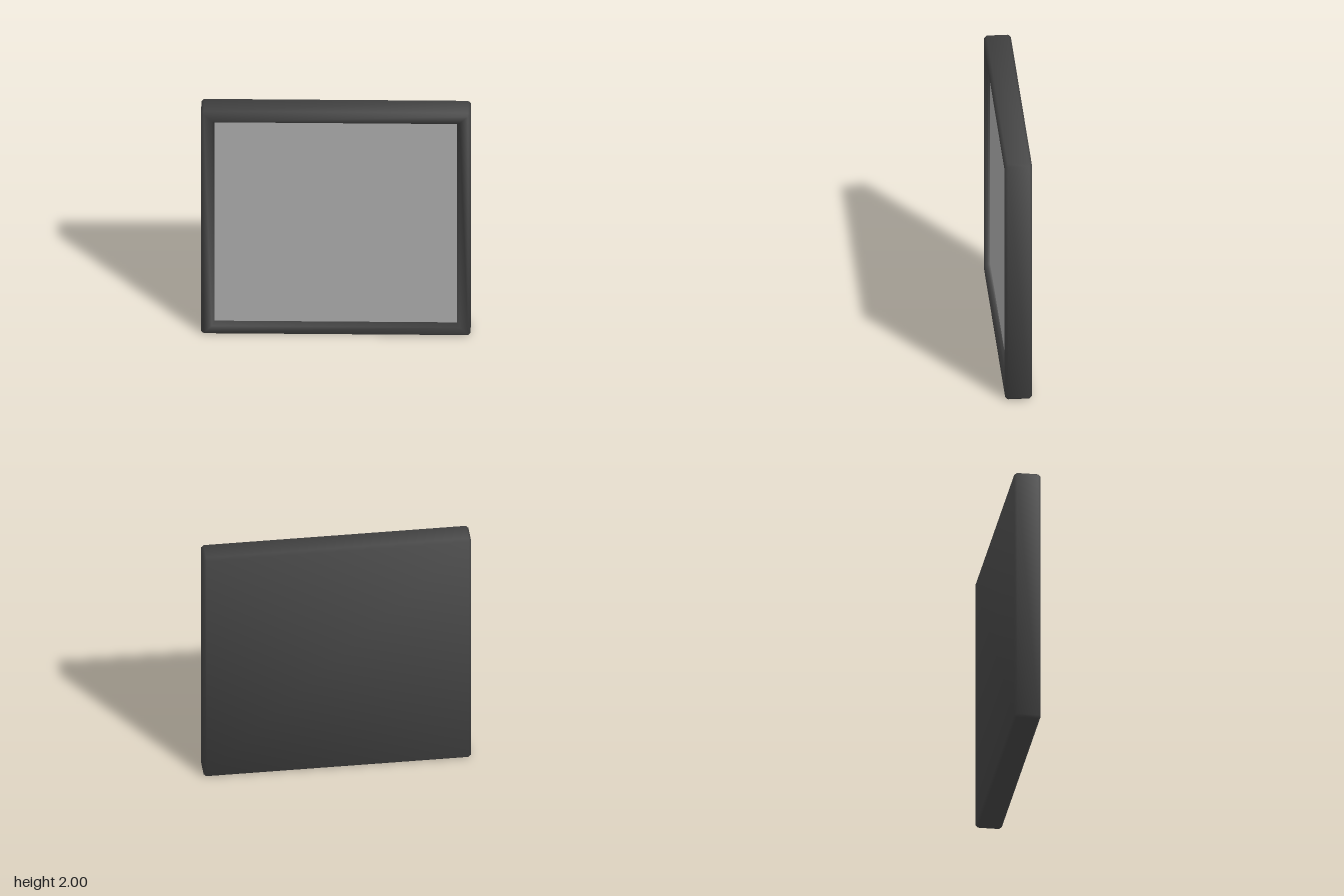
import * as THREE from 'three';

// Skins a stack of square rings. Each ring: half size, z, corner cut,
// and its soft normal as [along the main side, along the other side, z].
function skinSquareRings(rings) {
  const positions = [], normals = [], index = [];
  for (const { half, z, cut = 0, n } of rings) {
    for (let side = 0; side < 4; side++) {
      const c = Math.round(Math.cos(side * Math.PI / 2));
      const s = Math.round(Math.sin(side * Math.PI / 2));
      for (const end of [-1, 1]) {
        const v = end * (half - cut);
        positions.push(c * half - s * v, s * half + c * v, z);
        const normal = new THREE.Vector3(c * n[0] - s * end * n[1], s * n[0] + c * end * n[1], n[2]).normalize();
        normals.push(normal.x, normal.y, normal.z);
      }
    }
  }
  for (let i = 0; i < rings.length - 1; i++) {
    for (let j = 0; j < 8; j++) {
      const a = i * 8 + j, b = i * 8 + (j + 1) % 8;
      index.push(a, b, b + 8, a, b + 8, a + 8);
    }
  }
  const geometry = new THREE.BufferGeometry();
  geometry.setAttribute('position', new THREE.Float32BufferAttribute(positions, 3));
  geometry.setAttribute('normal', new THREE.Float32BufferAttribute(normals, 3));
  geometry.setIndex(index);
  return geometry;
}

export function createModel() {
  const model = new THREE.Group();
  model.name = 'framedPanel';

  // Bevelled frame with a closed back, running from the back centre round to the front recess
  const frame = new THREE.Mesh(
    skinSquareRings([
      { half: 0, z: -0.1, n: [0, 0, -1] },
      { half: 0.98, z: -0.1, n: [0.43, 0.43, -1] },
      { half: 1, z: -0.08, cut: 0.02, n: [1, 0.43, -0.43] },
      { half: 1, z: 0.08, cut: 0.02, n: [1, 0.43, 0.43] },
      { half: 0.98, z: 0.1, n: [0.43, 0.43, 1] },
      { half: 0.92, z: 0.1, n: [-0.43, -0.43, 1] },
      { half: 0.9, z: 0.08, n: [-1, -1, 0.5] },
      { half: 0.9, z: 0.06, n: [-1, -1, 0] },
    ]),
    new THREE.MeshStandardMaterial({ color: 0x444444 })
  );
  frame.name = 'frame';
  frame.position.y = 1;

  // Flat pane set just behind the frame's front lip
  const pane = new THREE.Mesh(
    new THREE.PlaneGeometry(1.8, 1.8),
    new THREE.MeshStandardMaterial({ color: 0xaaaaaa, side: THREE.DoubleSide })
  );
  pane.name = 'pane';
  pane.position.set(0, 1, 0.06);

  model.add(frame, pane);
  return model;
}
